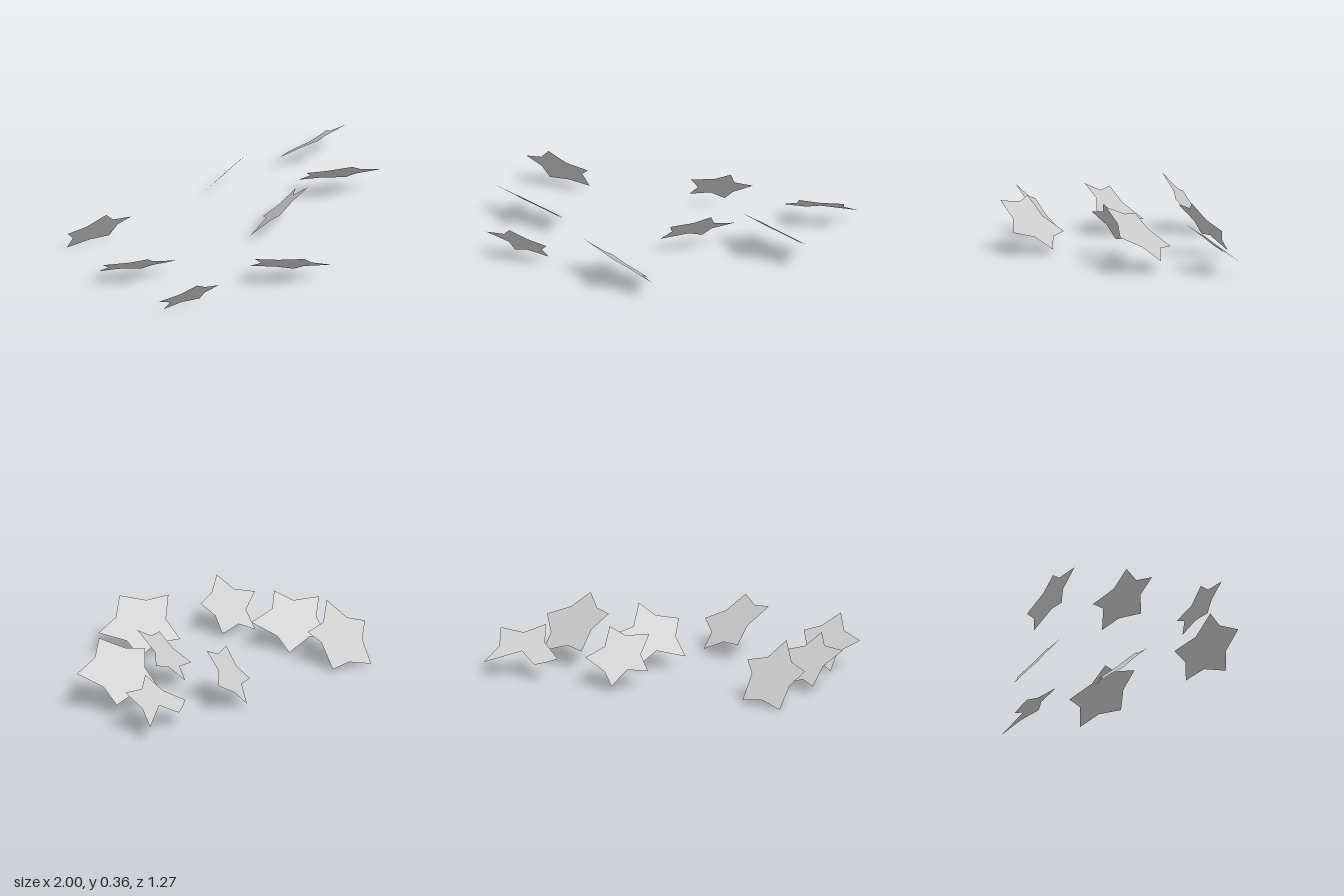
import * as THREE from 'three';

const paleGrey = new THREE.MeshStandardMaterial({ color: 0xcccccc, side: THREE.DoubleSide });
paleGrey.name = 'paleGrey';

// A flat five-pointed leaf star: outline in plan (x, z pairs, tip and notch in turn),
// laid on the tilted plane y = a*x + b*z + c
function star(name, [a, b, c], outline) {
  const corners = [];
  for (let i = 0; i < outline.length; i += 2) {
    corners.push(new THREE.Vector2(outline[i], -outline[i + 1]));
  }
  const geometry = new THREE.ShapeGeometry(new THREE.Shape(corners)).rotateX(-Math.PI / 2);
  const p = geometry.attributes.position;
  for (let i = 0; i < p.count; i++) p.setY(i, a * p.getX(i) + b * p.getZ(i) + c);
  geometry.computeVertexNormals();
  const mesh = new THREE.Mesh(geometry, paleGrey);
  mesh.name = name;
  return mesh;
}

export function createModel() {
  const group = new THREE.Group();
  group.name = 'scatteredStars';

  // right column, back to front
  group.add(star('rightBackStar', [-0.243, 1.28, 0.62], [
    -0.84, -0.64, -0.71, -0.59, -0.585, -0.578, -0.60, -0.476, -0.548, -0.417,
    -0.675, -0.42, -0.767, -0.362, -0.837, -0.455, -0.938, -0.50, -0.863, -0.55]));
  group.add(star('rightMiddleStar', [-0.377, 0.749, -0.078], [
    -0.89, -0.267, -0.80, -0.20, -0.634, -0.193, -0.64, -0.096, -0.564, 0.037,
    -0.72, 0.02, -0.80, 0.08, -0.858, -0.016, -1, -0.084, -0.906, -0.15]));
  group.add(star('rightFrontStar', [-0.19, 1.10, -0.378], [
    -0.794, 0.22, -0.709, 0.273, -0.575, 0.273, -0.596, 0.348, -0.548, 0.419,
    -0.655, 0.433, -0.751, 0.482, -0.805, 0.40, -0.926, 0.348, -0.805, 0.305]));

  // centre stars
  group.add(star('centreFrontStar', [-0.519, 0.682, -0.182], [
    -0.206, 0.259, -0.088, 0.332, 0.04, 0.346, 0.035, 0.45, 0.131, 0.583,
    -0.003, 0.572, -0.10, 0.634, -0.20, 0.519, -0.318, 0.455, -0.217, 0.38]));
  group.add(star('centreBackStar', [0.45, 1.13, 0.67], [
    0.20, -0.64, 0.26, -0.60, 0.382, -0.588, 0.297, -0.508, 0.302, -0.422,
    0.206, -0.422, 0.08, -0.367, 0.094, -0.46, 0.03, -0.506, 0.142, -0.545]));
  group.add(star('centreMiddleStar', [0.502, 0.844, 0.097], [
    0.206, -0.166, 0.281, -0.107, 0.41, -0.128, 0.318, -0.032, 0.334, 0.088,
    0.227, 0.08, 0.104, 0.132, 0.088, 0.043, 0, -0.018, 0.158, -0.075]));

  // left stars
  group.add(star('leftMiddleStar', [-0.392, 0.75, 0.539], [
    0.537, -0.278, 0.65, -0.209, 0.81, -0.193, 0.805, -0.086, 0.885, 0.048,
    0.735, 0.048, 0.639, 0.104, 0.548, -0.016, 0.45, -0.08, 0.527, -0.15]));
  group.add(star('leftBackStar', [0.117, 0.746, 0.447], [
    0.703, -0.578, 0.805, -0.519, 0.995, -0.626, 0.944, -0.519, 0.978, -0.415,
    0.837, -0.414, 0.73, -0.342, 0.693, -0.444, 0.583, -0.517, 0.64, -0.55]));

  return group;
}
